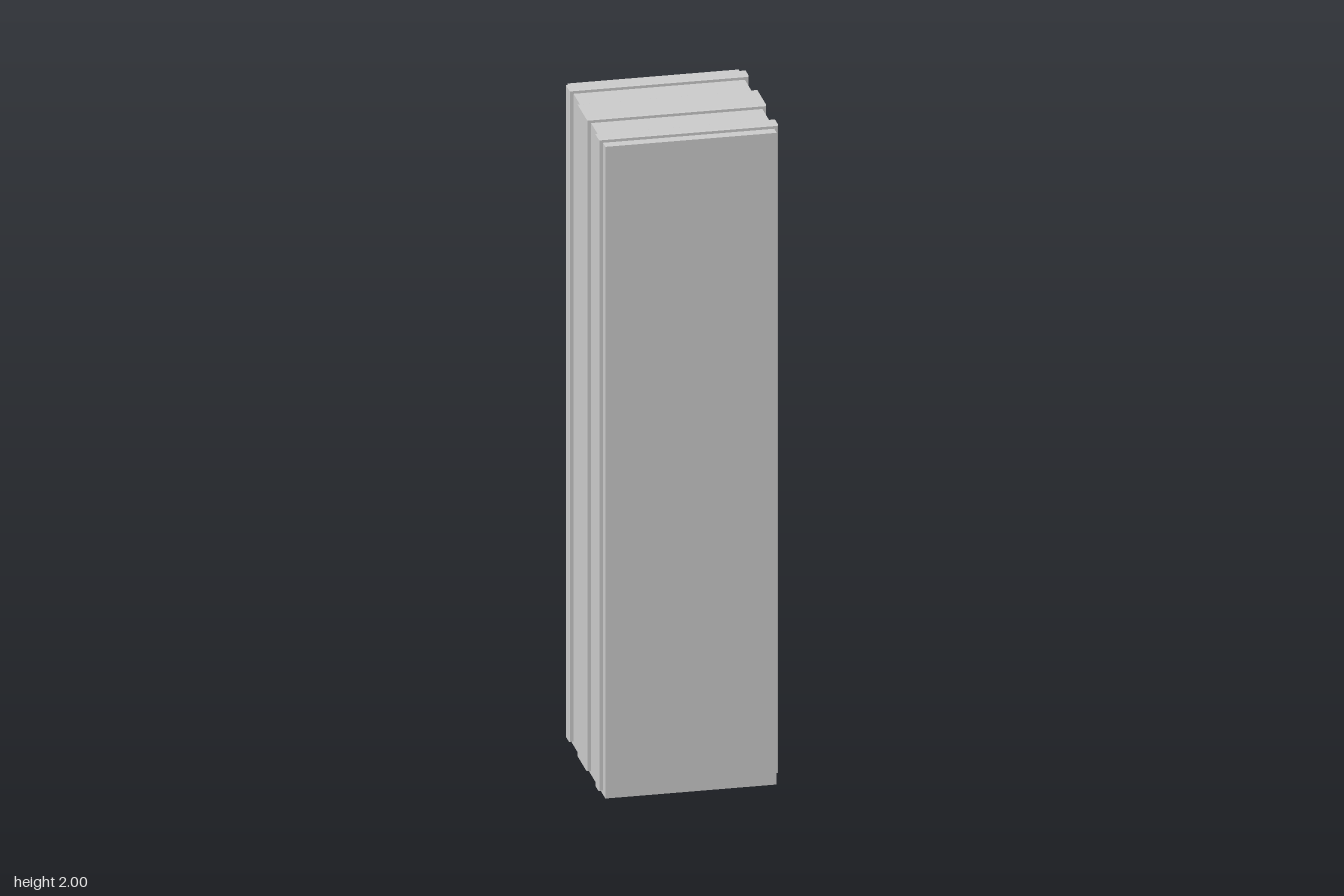
import * as THREE from 'three';

const BODY = 0.498, BODY_TOP = 1.99;
const BEVEL = 0.002;

export function createModel() {
  const model = new THREE.Group();
  const material = new THREE.MeshStandardMaterial({ color: 0xcccccc, flatShading: true });

  // Solid upright block
  const body = new THREE.Mesh(new THREE.BoxGeometry(BODY, BODY_TOP, BODY), material);
  body.name = 'body';
  body.position.y = BODY_TOP / 2;
  model.add(body);

  // Strap running up one side, over the top and down the other, with bevelled edges.
  // The +x end sits on a thinner tail that reaches the floor.
  function addStrap(name, z, width, endY) {
    const outer = 0.259, inner = 0.243, tail = 0.254, top = 1.998, foot = 0.003;
    const outline = new THREE.Shape([
      [-outer, 0.012], [-inner, 0.012], [-inner, 1.982], [inner, 1.982],
      [inner, foot], [tail, foot], [tail, endY], [outer, endY],
      [outer, top], [-outer, top],
    ].map(([x, y]) => new THREE.Vector2(x, y)));
    const bevelDepth = 0.005;
    const depth = width - 2 * bevelDepth;
    const geometry = new THREE.ExtrudeGeometry(outline, {
      depth, bevelEnabled: true, bevelSegments: 1,
      bevelSize: BEVEL, bevelThickness: bevelDepth,
    });
    geometry.translate(0, 0, -depth / 2);
    const strap = new THREE.Mesh(geometry, material);
    strap.name = name;
    strap.position.z = z;
    model.add(strap);
  }

  addStrap('frontStrap', 0.192, 0.05, 0.022);
  addStrap('centreStrap', -0.001, 0.126, 0.102);
  addStrap('backStrap', -0.193, 0.05, 0.022);

  return model;
}
